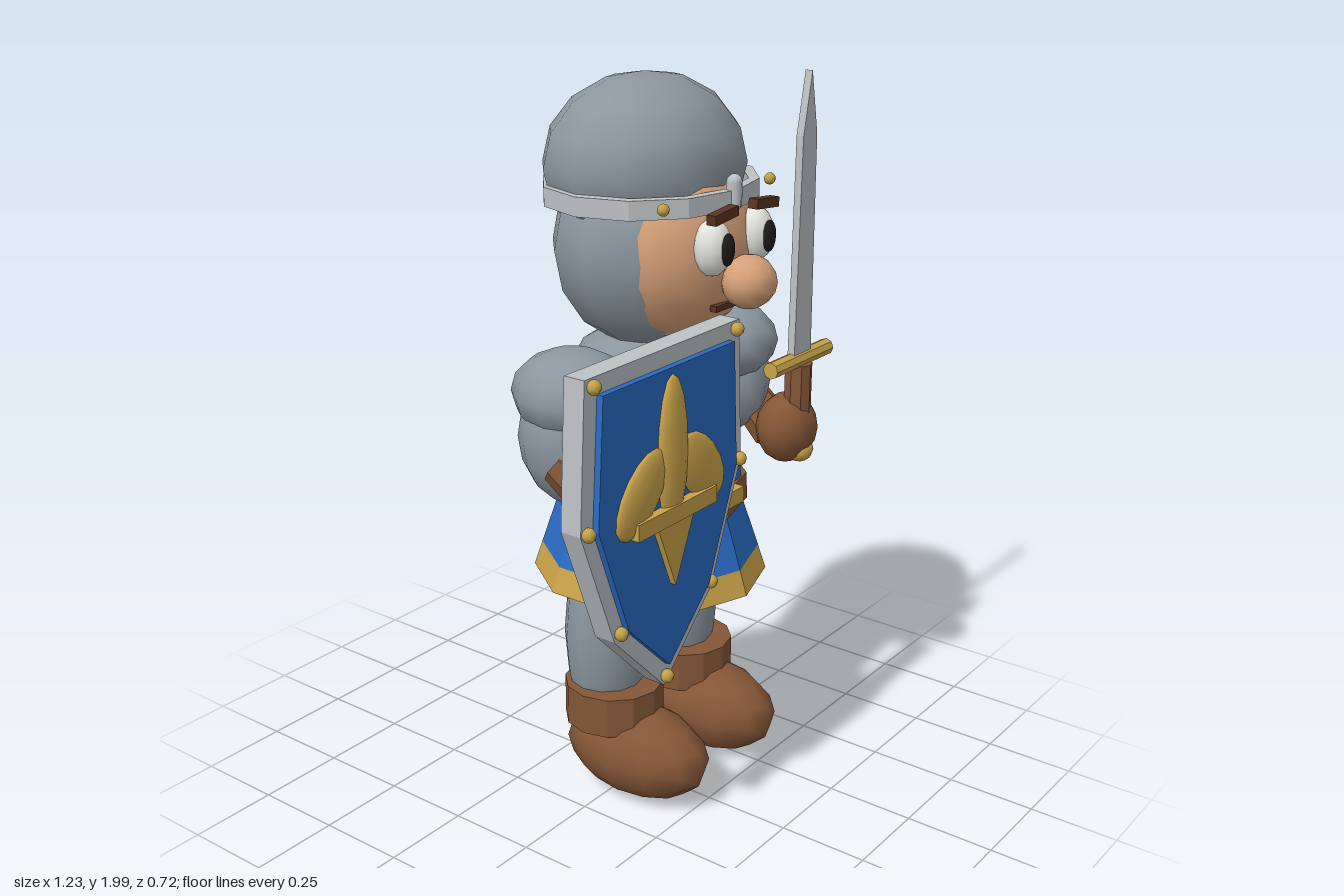
import * as THREE from 'three';

const mat = (name, color) => {
  const m = new THREE.MeshStandardMaterial({ color });
  m.name = name;
  return m;
};

export function createModel() {
  const mail = mat('mail grey', 0x8b969f);
  const steel = mat('light steel', 0xbdc2c6);
  const blue = mat('tunic blue', 0x2a6bc2);
  const gold = mat('gold', 0xc9a349);
  const leather = mat('leather brown', 0x845637);
  const skin = mat('skin', 0xd6a078);
  const white = mat('eye white', 0xe4e4de);
  const black = mat('pupil black', 0x1e1a1a);
  const dark = mat('dark brown', 0x5a3320);

  const root = new THREE.Group();
  root.name = 'knight';
  // The body stands a little to the left of the model's centre
  const body = new THREE.Group();
  body.name = 'body';
  body.position.x = 0.09;
  root.add(body);

  const add = (name, geo, material, x = 0, y = 0, z = 0, parent = body) => {
    const m = new THREE.Mesh(geo, material);
    m.name = name;
    m.position.set(x, y, z);
    parent.add(m);
    return m;
  };
  const flat = (geo) => {
    const g = geo.index ? geo.toNonIndexed() : geo;
    g.computeVertexNormals();
    return g;
  };
  const ball = (rx, ry, rz, w = 12, h = 8) => new THREE.SphereGeometry(1, w, h).scale(rx, ry, rz);
  const box = (w, h, d) => new THREE.BoxGeometry(w, h, d);
  const drum = (rt, rb, h, n, sx = 1, sz = 1) =>
    flat(new THREE.CylinderGeometry(rt, rb, h, n).scale(sx, 1, sz));
  const plate = (pts, depth) => new THREE.ExtrudeGeometry(
    new THREE.Shape(pts.map(([x, y]) => new THREE.Vector2(x, y))), { depth, bevelEnabled: false });

  // Legs and boots
  for (const s of [-1, 1]) {
    add('leg', ball(0.12, 0.3, 0.118), mail, s * 0.167, 0.47, -0.055);
    add('bootCuff', drum(0.14, 0.14, 0.115, 12), leather, s * 0.167, 0.277, -0.028);
    add('boot', ball(0.136, 0.132, 0.23), leather, s * 0.167, 0.14, 0.055);
  }

  // Tunic, skirt and belt
  add('tunic', new THREE.CylinderGeometry(0.215, 0.26, 0.4, 12).scale(1, 1, 0.86), blue, 0, 1.05, 0);
  add('skirt', drum(0.245, 0.307, 0.185, 10, 0.97), blue, 0, 0.7825, -0.03);
  add('skirtTrim', drum(0.307, 0.33, 0.07, 10, 0.97), gold, 0, 0.655, -0.03);
  add('belt', drum(0.268, 0.272, 0.075, 10, 1, 0.855), leather, 0, 0.868, 0);
  add('buckle', box(0.1, 0.045, 0.03), gold, 0, 0.892, 0.235);

  // Arms
  const up = new THREE.Vector3(0, 1, 0);
  for (const s of [-1, 1]) {
    add('shoulder', ball(0.15, 0.12, 0.18), mail, s * 0.318, 1.22, -0.03);
    add('upperArm', ball(0.11, 0.17, 0.15), mail, s * 0.345, 1.1, -0.03);
    const wrist = new THREE.Vector3(s * 0.385, 0.95, 0.13);
    const elbow = new THREE.Vector3(s * 0.405, 1.06, -0.01);
    const dir = elbow.clone().sub(wrist);
    const arm = add('gauntletCuff', drum(0.058, 0.066, dir.length(), 8), leather);
    arm.position.copy(wrist).lerp(elbow, 0.5);
    arm.quaternion.setFromUnitVectors(up, dir.normalize());
    add('hand', ball(0.098, 0.102, 0.085), leather, s * 0.375, 0.975, 0.175);
  }

  // Head and mail hood
  add('collar', ball(0.215, 0.075, 0.19), mail, 0, 1.26, -0.03);
  add('hood', ball(0.282, 0.28, 0.252), mail, 0, 1.56, -0.03);
  add('face', ball(0.243, 0.25, 0.203, 16, 12), skin, 0, 1.565, 0.05);
  add('nose', ball(0.077, 0.07, 0.072), skin, 0, 1.5, 0.283);
  add('mouth', box(0.145, 0.016, 0.02), dark, 0, 1.433, 0.225);
  for (const s of [-1, 1]) {
    add('eye', ball(0.052, 0.074, 0.05), white, s * 0.095, 1.6, 0.235);
    add('pupil', ball(0.025, 0.042, 0.014), black, s * 0.093, 1.6, 0.28);
    add('brow', box(0.1, 0.026, 0.028), dark, s * 0.092, 1.685, 0.262).rotation.z = -s * 0.1;
    add('bandRivet', ball(0.016, 0.016, 0.016, 8, 6), gold, s * 0.235, 1.713, 0.185);
  }

  // Helmet
  add('helmetDome', ball(0.297, 0.23, 0.256), mail, 0, 1.77, -0.05);
  const ring = [[0.28, -0.025], [0.312, -0.025], [0.312, 0.025], [0.28, 0.025], [0.28, -0.025]]
    .map(([x, y]) => new THREE.Vector2(x, y));
  add('helmetBand', flat(new THREE.LatheGeometry(ring, 12).scale(1, 1, 0.87)), steel, 0, 1.705, -0.03);
  add('noseGuard', new THREE.CapsuleGeometry(0.021, 0.055, 3, 8), steel, 0, 1.722, 0.232);

  // Sword
  const sword = new THREE.Group();
  sword.name = 'sword';
  sword.position.set(0.47, 0, 0.205);
  root.add(sword);
  const bladePts = [[-0.043, 1.18], [0.043, 1.18], [0.034, 1.81], [0, 1.98], [-0.034, 1.81]];
  add('blade', plate(bladePts, 0.022), steel, 0, 0, -0.011, sword);
  add('crossguard', drum(0.024, 0.024, 0.29, 8), gold, 0, 1.183, 0, sword).rotation.z = Math.PI / 2;
  add('grip', drum(0.039, 0.039, 0.25, 8), leather, 0, 1.045, 0, sword);
  add('pommel', ball(0.043, 0.034, 0.04, 8, 6), gold, 0, 0.913, 0.012, sword);

  // Shield: steel back, blue field and gold rivets
  const shield = new THREE.Group();
  shield.name = 'shield';
  shield.position.set(-0.285, 0, 0.24);
  root.add(shield);
  const outline = (a, b, c, top, mid, low, tip) =>
    [[0, tip], [c, low], [b, mid], [a, top], [-a, top], [-b, mid], [-c, low]];
  add('shieldBoard', plate(outline(0.31, 0.33, 0.205, 1.42, 1.04, 0.715, 0.51), 0.06), steel, 0, 0, 0, shield);
  add('shieldField', plate(outline(0.265, 0.285, 0.17, 1.375, 1.04, 0.74, 0.575), 0.018), blue, 0, 0, 0.06, shield);
  for (const [x, y] of outline(0.287, 0.312, 0.19, 1.4, 1.043, 0.737, 0.54))
    add('shieldRivet', ball(0.019, 0.019, 0.018, 8, 6), gold, x, y, 0.07, shield);

  // Flower emblem
  add('emblemPetal', ball(0.057, 0.205, 0.025), gold, 0, 1.155, 0.08, shield);
  for (const s of [-1, 1])
    add('emblemSidePetal', ball(0.072, 0.125, 0.02), gold, s * 0.122, 1.085, 0.08, shield).rotation.z = s * 0.75;
  add('emblemBar', box(0.325, 0.045, 0.03), gold, 0, 1.003, 0.088, shield);
  add('emblemPoint', plate([[-0.072, 0.975], [0, 0.805], [0.072, 0.975]], 0.018), gold, 0, 0, 0.077, shield);

  return root;
}
